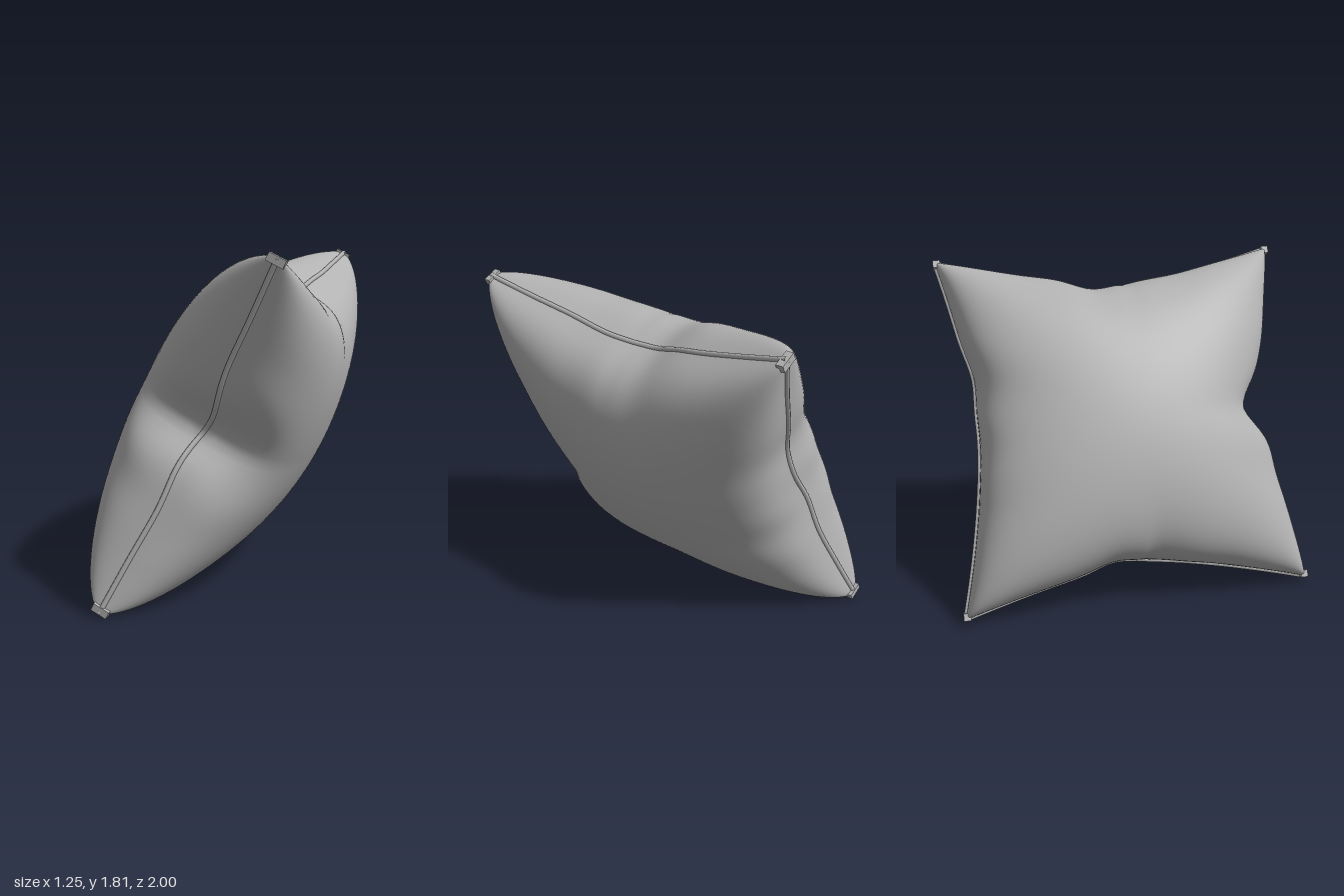
import * as THREE from 'three';

const N = 72; // grid steps across each panel
const fabric = new THREE.MeshStandardMaterial({ color: 0xb2b2b2 });
fabric.name = 'grey fabric';

const bell = (x, centre, width) => Math.exp(-(((x - centre) / width) ** 2));

// Half length of the cushion at v, and half width at u: pulled in between the corners
const halfLength = (v) => 0.785 + 0.205 * Math.abs(v) ** 1.35;
const halfWidth = (u, front) => front
  ? 0.77 + 0.215 * Math.abs(u) ** 1.1
  : 0.825 + 0.16 * Math.abs(u) ** 1.6;

// Point of a panel: x is the bulge, y runs along the cushion, z across it
function panelPoint(u, v, side) {
  const front = v > 0;
  const fullness = Math.max(0, (1 - u * u) * (1 - v * v)) ** 0.33;
  let x = side * 0.515 * fullness;
  let y = u * halfLength(v);
  let z = v * halfWidth(u, front);
  const nearV = v ** 4;
  const nearU = u ** 4;

  // Deep pinch in the middle of the front edge, shallow one at the back
  if (front) z -= 0.1 * bell(u, 0.04, 0.16) * nearV;
  else z += 0.025 * bell(u, 0.32, 0.15) * nearV;

  // Small folds gathered around the middle of every edge
  const phase = side * 0.9 + (front ? 0 : 1.6);
  z += 0.018 * Math.sin(u * 17 + phase) * bell(u, 0, 0.42) * nearV * Math.sign(v) * fullness;
  y += 0.022 * Math.sin(v * 13 + phase * u) * bell(v, 0, 0.45) * nearU * fullness;
  y -= 0.03 * Math.sign(u) * bell(v, -0.15, 0.13) * nearU;

  // The seam wanders slightly where the fabric gathers
  x += 0.02 * Math.sin(u * 9) * bell(u, 0, 0.4) * nearV;
  x += 0.015 * Math.sin(v * 8) * bell(v, 0, 0.4) * nearU;
  return new THREE.Vector3(x, y, z);
}

// One puffed fabric panel, with grid lines crowded towards the seam
function panel(side) {
  const positions = [];
  const index = [];
  const spread = (i) => Math.sin((i / N - 0.5) * Math.PI);
  for (let i = 0; i <= N; i++) {
    for (let j = 0; j <= N; j++) {
      positions.push(...panelPoint(spread(i), spread(j), side).toArray());
    }
  }
  for (let i = 0; i < N; i++) {
    for (let j = 0; j < N; j++) {
      const a = i * (N + 1) + j;
      const b = a + N + 1;
      if (side > 0) index.push(a, b, a + 1, b, b + 1, a + 1);
      else index.push(a, a + 1, b, b, a + 1, b + 1);
    }
  }
  const geometry = new THREE.BufferGeometry();
  geometry.setAttribute('position', new THREE.Float32BufferAttribute(positions, 3));
  geometry.setIndex(index);
  geometry.computeVertexNormals();
  return geometry;
}

// Narrow rolled seam along one edge, from corner to corner
function seam(edge) {
  const points = [];
  for (let i = 0; i <= 32; i++) points.push(edge(-1 + i / 16));
  return new THREE.TubeGeometry(new THREE.CatmullRomCurve3(points), 64, 0.014, 8, false);
}

export function createModel() {
  const model = new THREE.Group();
  model.name = 'cushion';
  const add = (geometry, name) => {
    const mesh = new THREE.Mesh(geometry, fabric);
    mesh.name = name;
    model.add(mesh);
    return mesh;
  };

  add(panel(1), 'leftPanel');
  add(panel(-1), 'rightPanel');
  add(seam((k) => panelPoint(k, 1, 1)), 'frontSeam');
  add(seam((k) => panelPoint(k, -1, 1)), 'backSeam');
  add(seam((k) => panelPoint(1, k, 1)), 'topSeam');
  add(seam((k) => panelPoint(-1, k, 1)), 'bottomSeam');

  // Flattened tab of gathered cloth at each corner
  for (const u of [-1, 1]) {
    for (const v of [-1, 1]) {
      const tab = add(new THREE.BoxGeometry(0.09, 0.04, 0.04), 'cornerTab');
      tab.position.set(0, u * 0.975, v * 0.975);
    }
  }

  // Lean the whole cushion on its lower edge
  model.rotation.z = -0.473;
  model.position.y = 0.915;
  const root = new THREE.Group();
  root.name = 'leaningCushion';
  root.add(model);
  return root;
}
